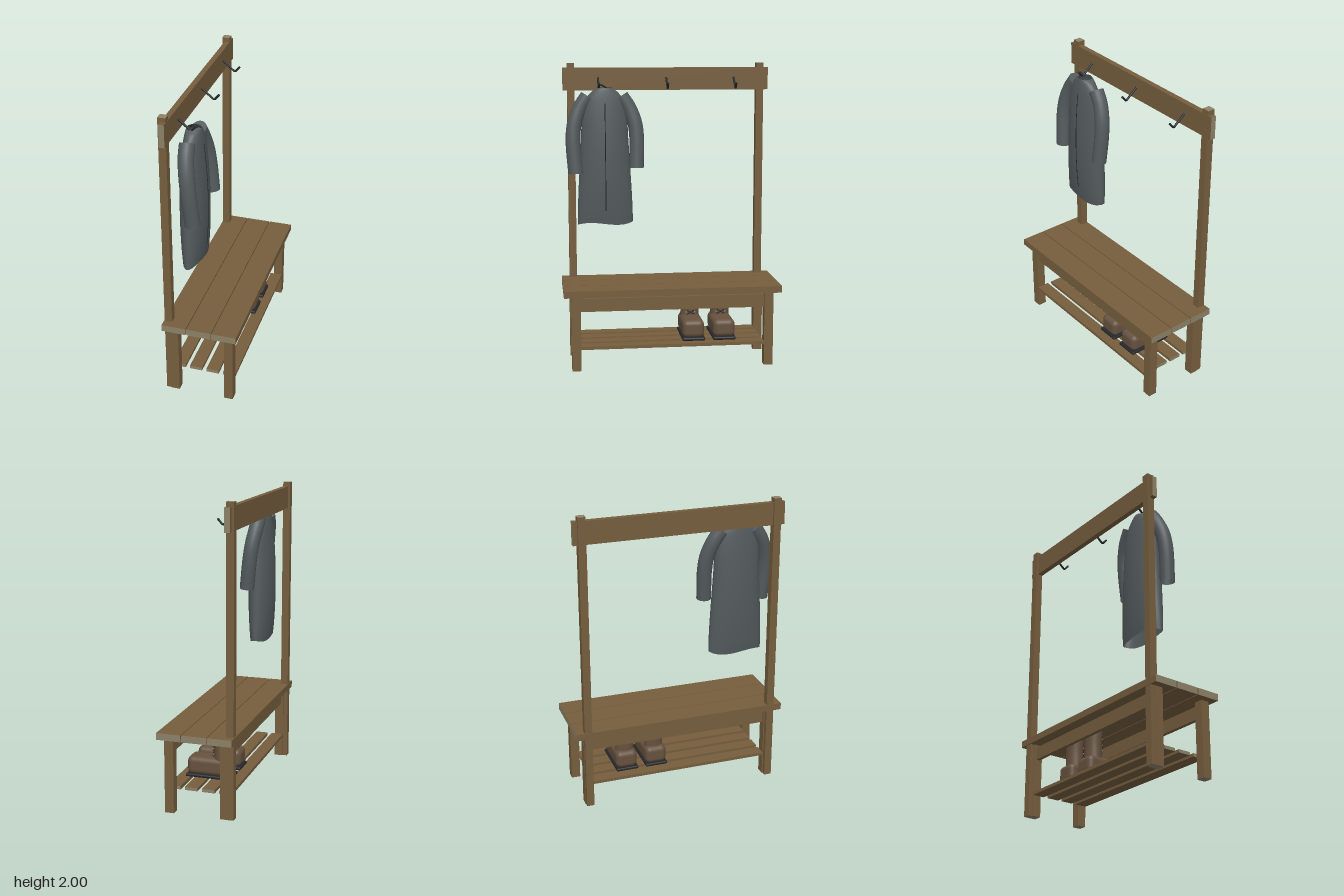
import * as THREE from 'three';
import { RoundedBoxGeometry } from 'three/addons/geometries/RoundedBoxGeometry.js';
import { ParametricGeometry } from 'three/addons/geometries/ParametricGeometry.js';

const material = (name, color, side = THREE.FrontSide) => {
  const m = new THREE.MeshStandardMaterial({ color, side });
  m.name = name;
  return m;
};
const V = (x, y, z) => new THREE.Vector3(x, y, z);

export function createModel() {
  const wood = material('wood', 0x765e3e);
  const endGrain = material('end grain', 0x8c8268);
  const cloth = material('grey cloth', 0x545b5d, THREE.DoubleSide);
  const iron = material('black iron', 0x22282a);
  const leather = material('brown leather', 0x66523f, THREE.DoubleSide);
  const rubber = material('sole rubber', 0x24272a);
  const eyeletMetal = material('eyelet metal', 0x9a958a);

  const root = new THREE.Group();
  root.name = 'benchWithCoatRack';

  const add = (parent, name, geometry, mat, x = 0, y = 0, z = 0) => {
    const mesh = new THREE.Mesh(geometry, mat);
    mesh.name = name;
    mesh.position.set(x, y, z);
    parent.add(mesh);
    return mesh;
  };

  // Timber given by its min and max corners; end grain on the faces across its long axis
  const timber = (name, [x0, x1], [y0, y1], [z0, z1], axis) => {
    const mats = [0, 1, 2, 3, 4, 5].map((f) => (Math.floor(f / 2) === axis ? endGrain : wood));
    return add(root, name, new THREE.BoxGeometry(x1 - x0, y1 - y0, z1 - z0), mats,
      (x0 + x1) / 2, (y0 + y1) / 2, (z0 + z1) / 2);
  };

  // Seat planks
  for (const x of [-0.168, 0, 0.168]) {
    timber('seatPlank', [x - 0.081, x + 0.081], [0.5, 0.545], [-0.72, 0.72], 2);
  }

  // Posts and legs at both ends
  for (const s of [-1, 1]) {
    const span = (a, b) => (s > 0 ? [a, b] : [-b, -a]);
    timber('backPost', [-0.245, -0.195], [0, 2], span(0.617, 0.667), 1);
    timber('backLeg', [-0.215, -0.155], [0, 0.5], span(0.61, 0.67), 1);
    timber('frontLeg', [0.155, 0.215], [0, 0.5], span(0.61, 0.67), 1);
  }

  // Rails under the seat, shelf slats and hook board
  timber('frontRail', [0.172, 0.198], [0.395, 0.482], [-0.61, 0.61], 2);
  timber('backRail', [-0.198, -0.172], [0.395, 0.482], [-0.61, 0.61], 2);
  for (const x of [-0.1725, -0.0575, 0.0575, 0.1725]) {
    timber('shelfSlat', [x - 0.0425, x + 0.0425], [0.143, 0.164], [-0.61, 0.61], 2);
  }
  timber('hookBoard', [-0.23, -0.194], [1.82, 1.97], [-0.697, 0.697], 2);

  // Coat hooks: a bar sloping down with an upturned tip
  for (const z of [-0.46, 0, 0.46]) {
    const path = new THREE.CurvePath();
    path.add(new THREE.LineCurve3(V(-0.194, 1.902, z), V(-0.118, 1.84, z)));
    path.add(new THREE.QuadraticBezierCurve3(V(-0.118, 1.84, z), V(-0.109, 1.832, z), V(-0.102, 1.84, z)));
    path.add(new THREE.LineCurve3(V(-0.102, 1.84, z), V(-0.079, 1.867, z)));
    add(root, 'coatHook', new THREE.TubeGeometry(path, 24, 0.007, 8), iron);
    const tip = add(root, 'hookTip', new THREE.SphereGeometry(0.007, 8, 6), iron, -0.079, 1.867, z);
    tip.scale.setScalar(1.1);
  }

  // Coat body: elliptical rings, open at neck and hem
  const coat = new THREE.Group();
  coat.name = 'coat';
  root.add(coat);
  const zc = 0.424;
  // depth, height, half width
  const rings = new THREE.CatmullRomCurve3([
    V(0.045, 1.84, 0.048), V(0.05, 1.82, 0.08), V(0.058, 1.77, 0.12), V(0.07, 1.66, 0.148),
    V(0.081, 1.5, 0.158), V(0.085, 1.35, 0.167), V(0.081, 1.15, 0.179), V(0.07, 1.0, 0.185),
    V(0.062, 0.935, 0.185)]);
  const bodyPoint = (u, v, out) => {
    const r = rings.getPoint(v);
    const a = u * Math.PI * 2;
    const wave = 0.008 * Math.sin(a * 3) * Math.max(0, (v - 0.7) / 0.3);
    return out.set(-0.104 + r.x * Math.cos(a), r.y + wave, zc + r.z * Math.sin(a));
  };
  add(coat, 'coatBody', new ParametricGeometry(bodyPoint, 40, 40), cloth);

  // Front closing seam
  const seam = [];
  for (let i = 0; i <= 10; i++) seam.push(bodyPoint(0, 0.29 + i * 0.056, V(0, 0, 0)));
  add(coat, 'coatSeam', new THREE.TubeGeometry(new THREE.CatmullRomCurve3(seam), 30, 0.003, 5), iron);

  // Sleeves bow outwards and forwards; the right one hangs a little higher
  const sleeve = (name, s, cuffY, cuffOut) => {
    const path = new THREE.CatmullRomCurve3([
      V(-0.11, 1.785, zc + s * 0.112), V(-0.103, 1.71, zc + s * 0.162), V(-0.088, 1.61, zc + s * 0.2),
      V(-0.075, 1.5, zc + s * 0.212), V(-0.056, cuffY, zc + s * cuffOut)]);
    add(coat, name, new THREE.TubeGeometry(path, 24, 0.049, 20), cloth);
    const start = path.getPoint(0);
    const cap = add(coat, name + 'ShoulderCap', new THREE.CircleGeometry(0.049, 20), cloth, start.x, start.y, start.z);
    cap.lookAt(start.clone().sub(path.getTangent(0)));
  };
  sleeve('leftSleeve', 1, 1.275, 0.198);
  sleeve('rightSleeve', -1, 1.31, 0.207);

  // Hanging loop between collar and hook
  const loop = new THREE.QuadraticBezierCurve3(V(-0.135, 1.832, 0.4), V(-0.1, 1.862, 0.44), V(-0.095, 1.865, 0.465));
  add(coat, 'hangingLoop', new THREE.TubeGeometry(loop, 10, 0.005, 6), iron);

  // Boots with toes towards +x
  for (const z of [-0.145, -0.352]) {
    const boot = new THREE.Group();
    boot.name = 'boot';
    boot.position.set(0, 0.164, z);
    root.add(boot);
    add(boot, 'sole', new RoundedBoxGeometry(0.312, 0.022, 0.154, 3, 0.01), rubber, 0.006, 0.011, 0);
    add(boot, 'foot', new RoundedBoxGeometry(0.3, 0.121, 0.146, 5, 0.035), leather, 0.005, 0.076, 0);
    // Flared shaft, open at the top
    const profile = [[0.96, 0.09], [0.92, 0.18], [0.93, 0.26], [1.03, 0.316], [0.95, 0.316], [0.86, 0.29], [0.82, 0.15]]
      .map(([r, y]) => new THREE.Vector2(r, y));
    const shaft = add(boot, 'shaft', new THREE.LatheGeometry(profile, 28), leather, -0.067, 0, 0);
    shaft.scale.set(0.057, 1, 0.068);
    add(boot, 'tongue', new RoundedBoxGeometry(0.014, 0.19, 0.05, 2, 0.006), leather, -0.018, 0.215, 0);
    // Crossed laces and eyelets
    for (let i = 0; i < 4; i++) {
      const y = 0.155 + i * 0.038;
      for (const s of [-1, 1]) {
        const lace = add(boot, 'lace', new THREE.BoxGeometry(0.005, 0.006, 0.056), iron, -0.01, y, 0);
        lace.rotation.x = s * 0.5;
        const eyelet = add(boot, 'eyelet', new THREE.SphereGeometry(0.005, 8, 6), eyeletMetal, -0.015, y, s * 0.03);
        eyelet.scale.x = 0.6;
      }
    }
  }
  return root;
}
